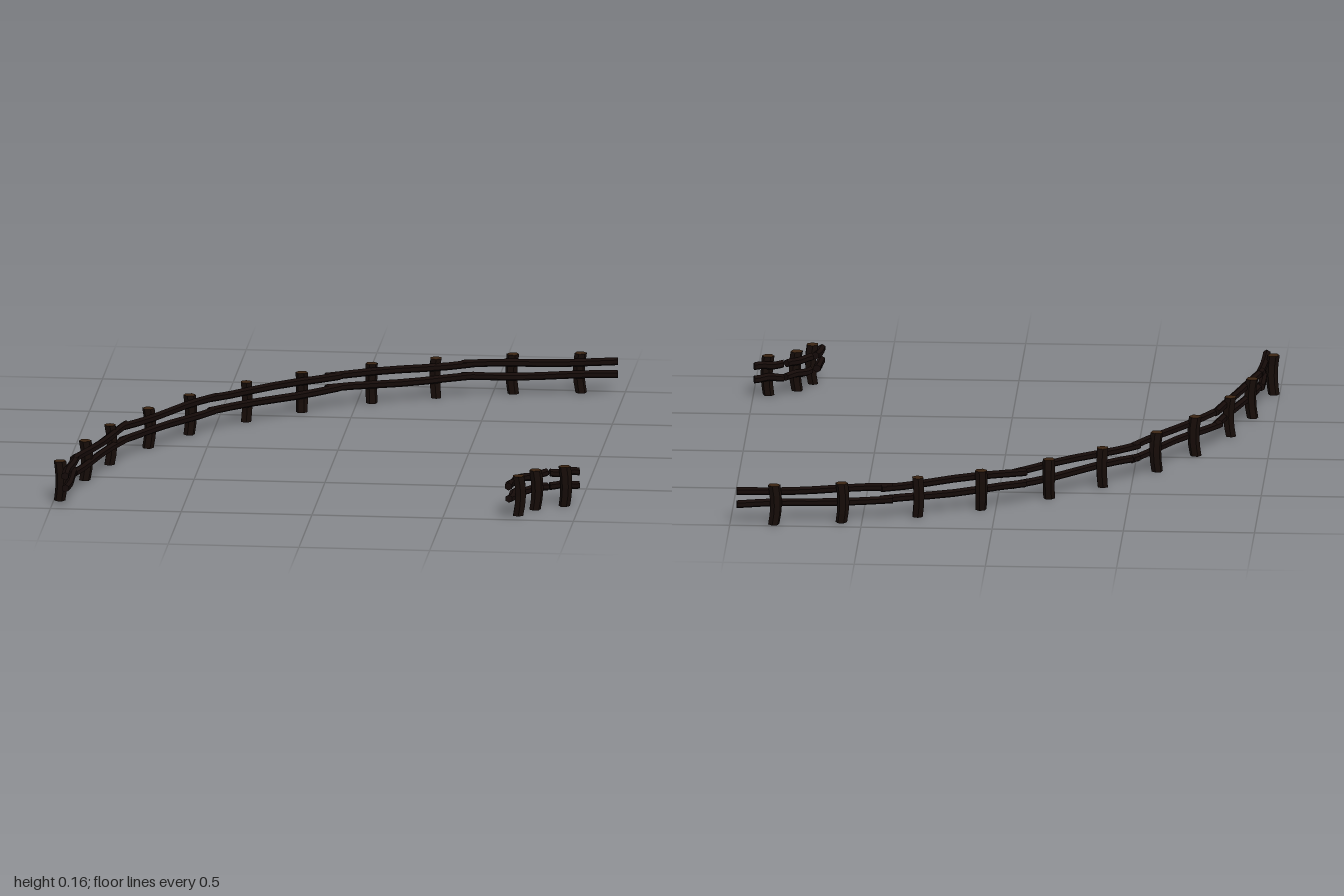
import * as THREE from 'three';

const bark = new THREE.MeshStandardMaterial({ color: 0x160c08, flatShading: true });
const railWood = new THREE.MeshStandardMaterial({ color: 0x140a08, flatShading: true });
const cutWood = new THREE.MeshStandardMaterial({ color: 0x3a2412, flatShading: true });

const POST_HEIGHT = 0.155;

// Hexagonal log post whose foot bends aside; angle sets the bend direction.
function makePost(x, z, angle) {
  const geo = new THREE.CylinderGeometry(0.024, 0.022, POST_HEIGHT, 6, 4);
  geo.translate(0, POST_HEIGHT / 2, 0);
  const p = geo.attributes.position;
  for (let i = 0; i < p.count; i++) {
    const t = p.getY(i) / POST_HEIGHT;
    const bend = 0.012 * Math.sin(t * 2.6 + 0.2) - 0.006;
    p.setX(i, p.getX(i) + bend);
  }
  geo.computeVertexNormals();
  const post = new THREE.Mesh(geo, [bark, cutWood, bark]);
  post.name = 'post';
  post.position.set(x, 0, z);
  post.rotation.y = angle;
  return post;
}

// Hexagonal pole between two plan points, with a gentle wobble along it.
function makeRail([x0, z0, x1, z1], y, phase, name) {
  const length = Math.hypot(x1 - x0, z1 - z0);
  const geo = new THREE.CylinderGeometry(0.0155, 0.0155, length, 6, 6);
  geo.rotateX(Math.PI / 2);
  const p = geo.attributes.position;
  for (let i = 0; i < p.count; i++) {
    const t = p.getZ(i) / length + 0.5;
    p.setY(i, p.getY(i) + 0.003 * Math.sin(t * 7 + phase));
    p.setX(i, p.getX(i) + 0.003 * Math.sin(t * 5 + phase * 1.7));
  }
  geo.computeVertexNormals();
  const rail = new THREE.Mesh(geo, railWood);
  rail.name = name;
  rail.position.set((x0 + x1) / 2, y, (z0 + z1) / 2);
  rail.rotation.y = Math.atan2(x1 - x0, z1 - z0);
  return rail;
}

function makeFence(name, posts, rails) {
  const fence = new THREE.Group();
  fence.name = name;
  posts.forEach(([x, z], i) => fence.add(makePost(x, z, -0.6 + i * 0.35)));
  rails.forEach((r, i) => {
    fence.add(makeRail(r, 0.125, i * 1.3, 'upperRail'));
    fence.add(makeRail(r, 0.075, i * 1.3 + 2, 'lowerRail'));
  });
  return fence;
}

export function createModel() {
  const model = new THREE.Group();
  model.name = 'curvedFences';

  // Long outer fence, rails overlapping slightly at each joint
  model.add(makeFence('outerFence',
    [[-0.975, 0.87], [-0.91, 0.55], [-0.84, 0.3], [-0.72, 0.03], [-0.585, -0.19], [-0.39, -0.41],
      [-0.195, -0.575], [0.055, -0.74], [0.29, -0.845], [0.575, -0.935], [0.83, -0.975]],
    [[-0.945, 0.99, -0.935, 0.7], [-0.937, 0.74, -0.79, 0.18], [-0.805, 0.215, -0.495, -0.285],
      [-0.52, -0.26, -0.06, -0.66], [-0.11, -0.64, 0.43, -0.89], [0.385, -0.88, 0.975, -0.97]]));

  // Short inner fence
  model.add(makeFence('innerFence',
    [[0.945, 0.765], [0.84, 0.83], [0.785, 0.925]],
    [[0.75, 0.98, 0.766, 0.865], [0.785, 0.848, 0.875, 0.757], [0.885, 0.752, 0.995, 0.72]]));

  return model;
}
